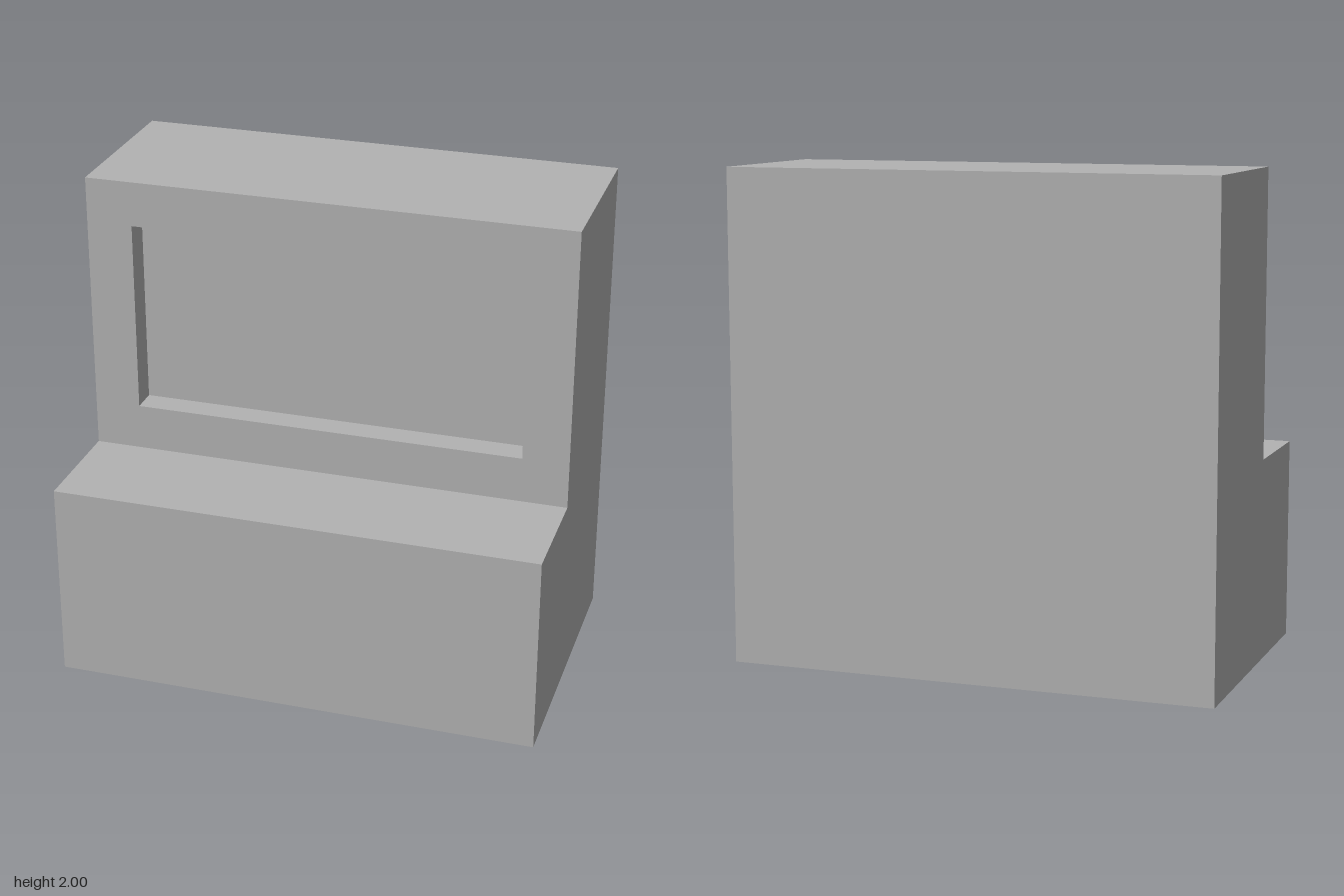
import * as THREE from 'three';

const WIDTH = 2, BACK = -0.6, FRONT = 0.6;   // overall extents
const LEDGE = 0.83, TOP = 2;                 // ledge and top heights
const FACE = 0.13, PANEL = 0.02;             // z of upper front and of recessed panel

function polygon(points, Type = THREE.Shape) {
  return new Type(points.map(([x, y]) => new THREE.Vector2(x, y)));
}

function rectangle(x0, y0, x1, y1, Type) {
  return polygon([[x0, y0], [x1, y0], [x1, y1], [x0, y1]], Type);
}

export function createModel() {
  const grey = new THREE.MeshStandardMaterial({ color: 0xb2b2b2 });
  grey.name = 'grey';
  const model = new THREE.Group();
  model.name = 'steppedCabinet';

  function add(name, geometry) {
    const mesh = new THREE.Mesh(geometry, grey);
    mesh.name = name;
    model.add(mesh);
  }

  // L-shaped body: side profile (z, y) swept across the width
  const profile = polygon([
    [BACK, 0], [FRONT, 0], [FRONT, LEDGE], [PANEL, LEDGE], [PANEL, TOP], [BACK, TOP],
  ]);
  const body = new THREE.ExtrudeGeometry(profile, { depth: WIDTH, bevelEnabled: false });
  body.translate(0, 0, -WIDTH / 2).rotateY(-Math.PI / 2);
  add('body', body);

  // Upper front frame, whose opening forms the shallow recess
  const outline = rectangle(-WIDTH / 2, LEDGE, WIDTH / 2, TOP);
  outline.holes.push(rectangle(-0.81, 1.02, 0.81, 1.815, THREE.Path));
  const frame = new THREE.ExtrudeGeometry(outline, { depth: FACE - PANEL, bevelEnabled: false });
  frame.translate(0, 0, PANEL);
  add('recessFrame', frame);

  return model;
}
